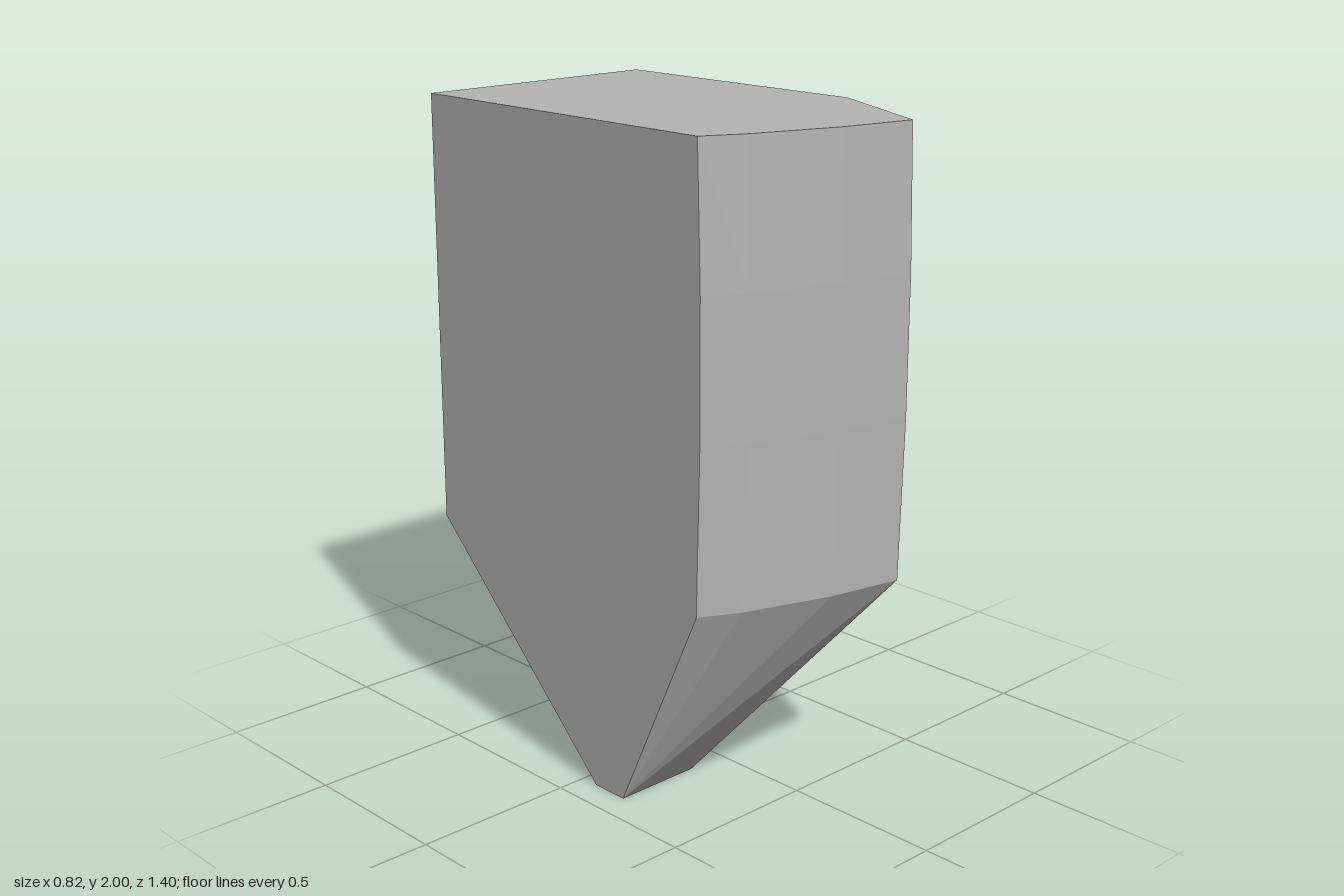
import * as THREE from 'three';
import { ConvexGeometry } from 'three/addons/geometries/ConvexGeometry.js';

export function createModel() {
  const stone = new THREE.MeshStandardMaterial({ color: 0xb4b4b4, flatShading: true });
  stone.name = 'grey stone';
  const points = [];
  const add = (x, y, z) => points.push(new THREE.Vector3(x, y, z));

  // slightly bowed front wall: columns [x, z] raised through rings [y, bulge]
  const columns = [[-0.41, 0.49], [-0.29, 0.55], [-0.02, 0.64], [0.21, 0.685]];
  const rings = [[0.67, 0], [1.16, 0.012], [1.58, 0.012], [2, 0]];
  for (const [y, bulge] of rings) for (const [x, z] of columns) add(x, y, z + bulge);

  // straight side and back corners
  for (const y of [0.66, 2]) add(0.41, y, 0.27);
  for (const x of [-0.41, 0.41]) for (const y of [0.68, 2]) add(x, y, -0.64);

  // raised ridge on the back
  add(0.08, 0.65, -0.7);
  add(0.25, 0.345, -0.7);
  add(0.19, 0.3, -0.7);
  add(0.1, 0.325, -0.7);

  // small foot with a bevelled rear edge
  add(-0.41, 0, 0.18);
  add(-0.13, 0, 0.18);
  add(-0.41, 0, 0.06);
  add(-0.17, 0, -0.16);
  add(-0.065, 0, -0.12);
  add(-0.11, 0.03, -0.27);
  add(-0.01, 0.03, -0.23);

  const block = new THREE.Mesh(new ConvexGeometry(points), stone);
  block.name = 'facetedStoneBlock';
  const group = new THREE.Group();
  group.name = 'stone';
  group.add(block);
  return group;
}
